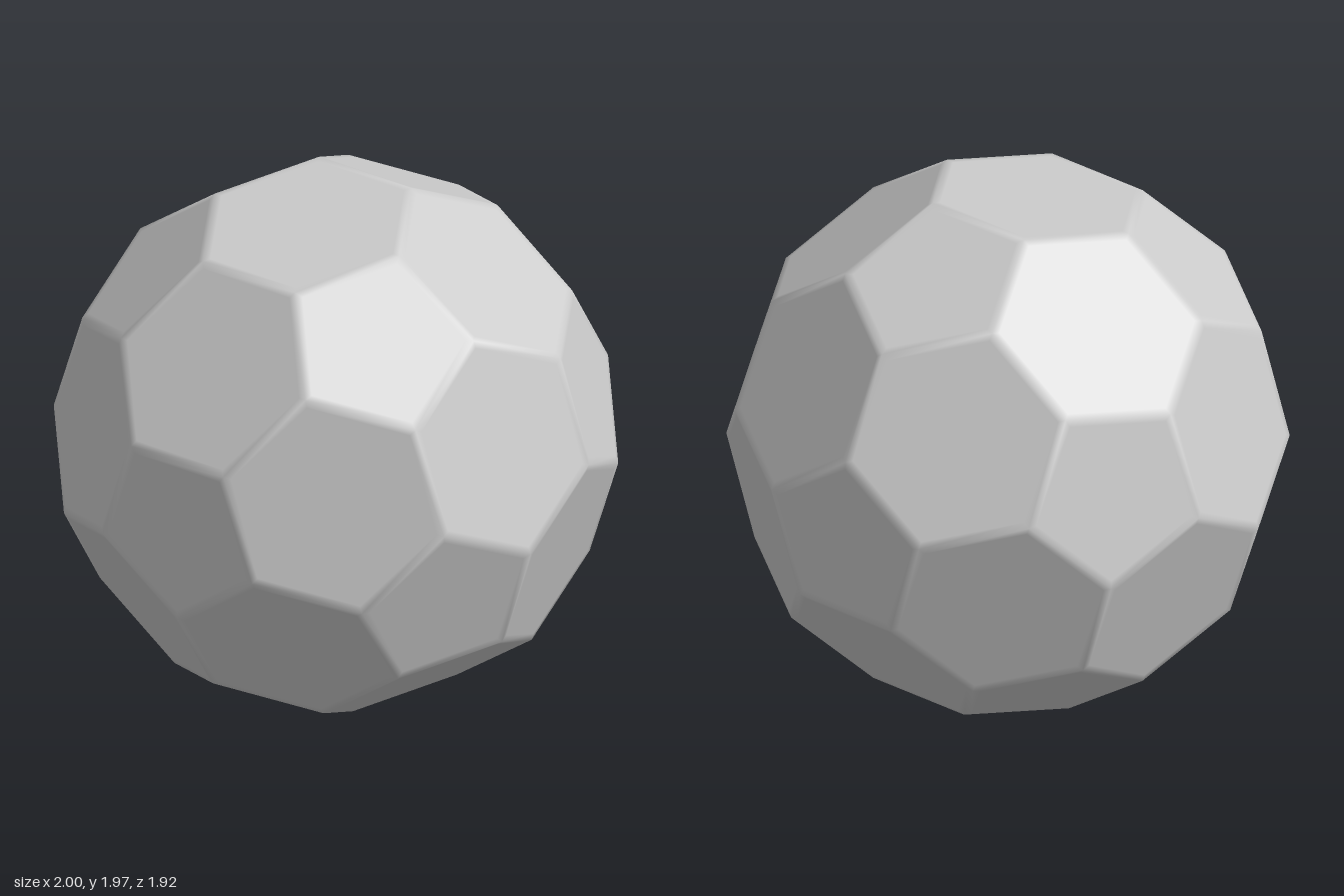
import * as THREE from 'three';

const PHI = (1 + Math.sqrt(5)) / 2;

// Twelve corners of an icosahedron, edge length 2.
function icosahedronCorners() {
  const corners = [];
  for (const s of [1, -1]) for (const t of [1, -1]) {
    corners.push(
      new THREE.Vector3(0, s, t * PHI),
      new THREE.Vector3(s, t * PHI, 0),
      new THREE.Vector3(t * PHI, 0, s)
    );
  }
  return corners;
}

const adjacent = (a, b) => Math.abs(a.dot(b) - PHI) < 1e-6;

// Corners of the solid lying on the plane facing `axis`, counter-clockwise from outside.
function facePolygon(points, axis) {
  const n = axis.clone().normalize();
  const top = Math.max(...points.map((p) => p.dot(n)));
  const u = new THREE.Vector3(0.31, 0.87, 0.45).cross(n).normalize();
  const v = n.clone().cross(u);
  const angle = (p) => Math.atan2(p.dot(v), p.dot(u));
  const ring = points.filter((p) => p.dot(n) > top - 1e-4);
  return { n, ring: ring.sort((a, b) => angle(a) - angle(b)) };
}

// Flat panels, each with a narrow rim whose normals blend softly into the neighbours.
function panelGeometry(faces, rim) {
  const pos = [], nor = [];
  const add = (p, n) => { pos.push(p.x, p.y, p.z); nor.push(n.x, n.y, n.z); };
  for (const { n, ring } of faces) {
    const centre = ring.reduce((sum, p) => sum.add(p), new THREE.Vector3()).divideScalar(ring.length);
    const apothem = ring[0].clone().add(ring[1]).multiplyScalar(0.5).distanceTo(centre);
    const inner = ring.map((p) => p.clone().lerp(centre, rim / apothem));
    ring.forEach((a, i) => {
      const j = (i + 1) % ring.length;
      const b = ring[j], na = a.clone().normalize(), nb = b.clone().normalize();
      add(centre, n); add(inner[i], n); add(inner[j], n);
      add(a, na); add(b, nb); add(inner[j], n);
      add(a, na); add(inner[j], n); add(inner[i], n);
    });
  }
  const geometry = new THREE.BufferGeometry();
  geometry.setAttribute('position', new THREE.Float32BufferAttribute(pos, 3));
  geometry.setAttribute('normal', new THREE.Float32BufferAttribute(nor, 3));
  return geometry;
}

export function createModel() {
  const corners = icosahedronCorners();

  // Cut every icosahedron edge at its thirds: 60 points, scaled to a width of 2.
  const points = [], hexAxes = [];
  corners.forEach((a, i) => corners.forEach((b, j) => {
    if (!adjacent(a, b)) return;
    points.push(a.clone().multiplyScalar(2).add(b).divideScalar(3 * PHI));
    corners.forEach((c, k) => {
      if (i < j && j < k && adjacent(a, c) && adjacent(b, c)) hexAxes.push(a.clone().add(b).add(c));
    });
  }));

  const material = new THREE.MeshStandardMaterial({ color: 0xcccccc });
  const ball = new THREE.Group();
  ball.name = 'ball';
  // Tilt so that one pentagon faces straight forward.
  const tilt = new THREE.Matrix4().makeRotationX(Math.atan(1 / PHI));

  const addPanels = (name, axes) => {
    const geometry = panelGeometry(axes.map((axis) => facePolygon(points, axis)), 0.025);
    const mesh = new THREE.Mesh(geometry.applyMatrix4(tilt), material);
    mesh.name = name;
    ball.add(mesh);
  };
  addPanels('pentagonPanels', corners);
  addPanels('hexagonPanels', hexAxes);

  // Stand the ball on the ground.
  ball.position.y = -new THREE.Box3().setFromObject(ball).min.y;

  const model = new THREE.Group();
  model.name = 'facetedBall';
  model.add(ball);
  return model;
}
